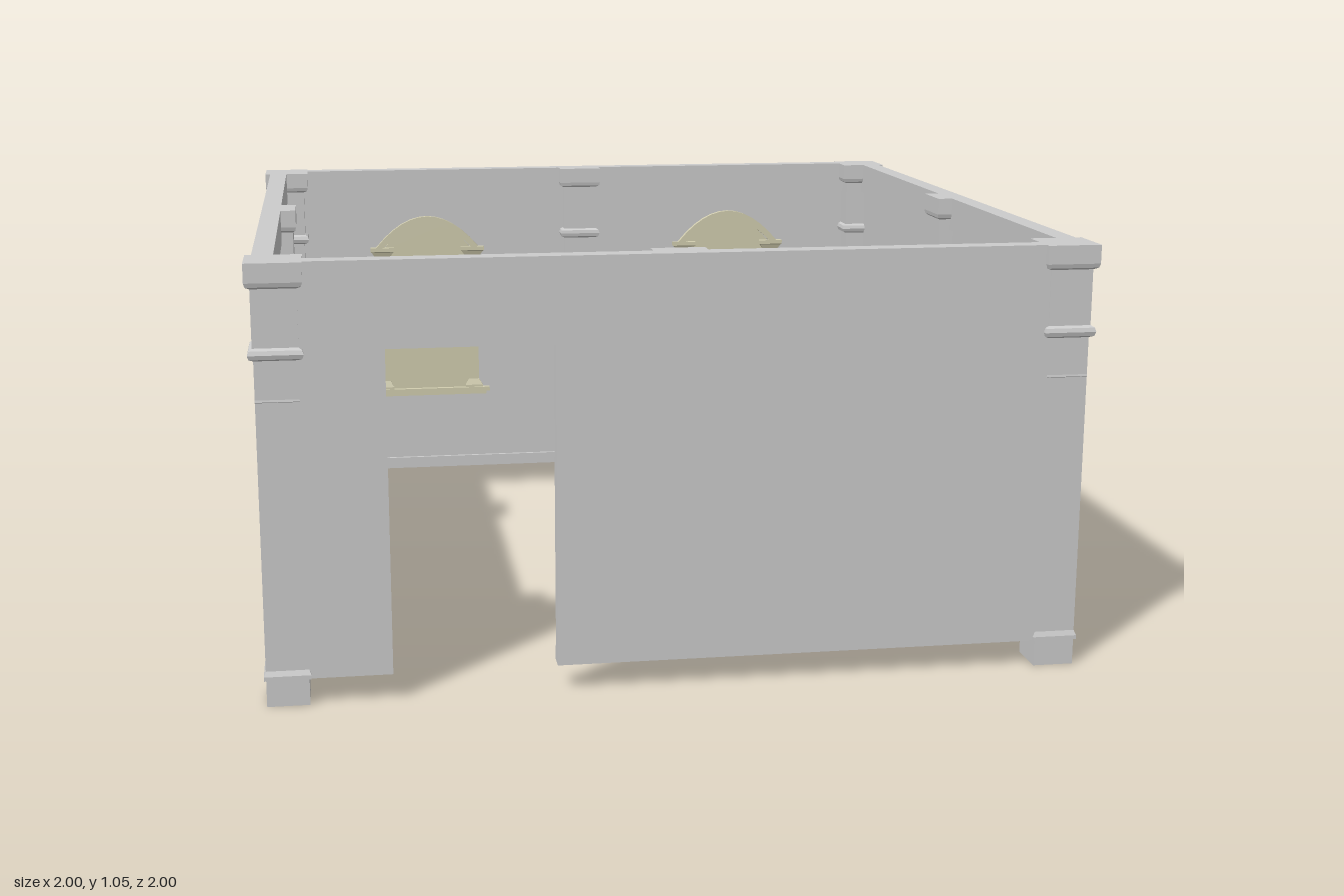
import * as THREE from 'three';

const grey = new THREE.MeshStandardMaterial({ color: 0xcccccc, flatShading: true });
const cream = new THREE.MeshStandardMaterial({ color: 0xd2ceb0, flatShading: true });

const BOTTOM = 0.065, TOP = 1.05, OUT = 0.985, INNER = 0.945, FACE = 0.935;

function add(parent, name, geometry, material = grey) {
  const mesh = new THREE.Mesh(geometry, material);
  mesh.name = name;
  parent.add(mesh);
  return mesh;
}

// Box given by its limits on each axis
function box(parent, name, x0, x1, y0, y1, z0, z1, material) {
  const mesh = add(parent, name, new THREE.BoxGeometry(x1 - x0, y1 - y0, z1 - z0), material);
  mesh.position.set((x0 + x1) / 2, (y0 + y1) / 2, (z0 + z1) / 2);
  return mesh;
}

// Square post from a list of [half width, height]
function squarePost(profile) {
  const points = profile.map(([w, y]) => new THREE.Vector2(w * Math.SQRT2, y));
  return new THREE.LatheGeometry(points, 4, Math.PI / 4).toNonIndexed();
}

const polygon = (pts) => new THREE.Path(pts.map(([x, y]) => new THREE.Vector2(x, y)));
const rect = (x0, x1, y0, y1) => polygon([[x0, y0], [x1, y0], [x1, y1], [x0, y1]]);

// Shared upper profile of pillars and pilasters
const upperProfile = [
  [0.055, 0.065], [0.055, 0.075], [0.049, 0.09], [0.049, 0.19], [0.04, 0.21],
  [0.04, 0.715], [0.051, 0.73], [0.049, 0.74], [0.049, 0.825], [0.06, 0.83], [0.063, 0.84],
  [0.06, 0.85], [0.052, 0.855], [0.052, 0.99], [0.062, 0.995], [0.065, 1.005],
  [0.065, TOP], [0, TOP],
];

// Openings of one lattice window, centred on x = cx
function latticeHoles(cx) {
  const holes = [];
  for (let row = 0; row < 5; row++) {
    for (let col = 0; col < 4; col++) {
      const x = cx - 0.12 + col * 0.06, y = 0.345 + row * 0.058;
      holes.push(rect(x + 0.006, x + 0.054, y, y + 0.047));
    }
  }
  for (const s of [-1, 1]) {
    // Long hexagon with small triangles in its corners
    const x = cx + s * 0.06, y = 0.685;
    holes.push(polygon([[x - 0.05, y], [x - 0.025, y - 0.025], [x + 0.025, y - 0.025],
      [x + 0.05, y], [x + 0.025, y + 0.025], [x - 0.025, y + 0.025]]));
    for (const a of [-1, 1]) for (const b of [-1, 1]) {
      holes.push(polygon([[x + a * 0.053, y + b * 0.012], [x + a * 0.053, y + b * 0.043],
        [x + a * 0.02, y + b * 0.043]]));
    }
    // Fan of slanted petals
    holes.push(polygon([[cx + s * 0.012, 0.76], [cx + s * 0.05, 0.785],
      [cx + s * 0.055, 0.825], [cx + s * 0.022, 0.805]]));
    holes.push(polygon([[cx + s * 0.05, 0.752], [cx + s * 0.085, 0.756],
      [cx + s * 0.115, 0.785], [cx + s * 0.075, 0.778]]));
  }
  return holes;
}

function wall(parent, name, half, holes = [], outline = null) {
  const shape = new THREE.Shape((outline ||
    [[-half, BOTTOM], [half, BOTTOM], [half, TOP], [-half, TOP]]).map(([x, y]) => new THREE.Vector2(x, y)));
  shape.holes = holes;
  const geo = new THREE.ExtrudeGeometry(shape, { depth: OUT - INNER, bevelEnabled: false });
  geo.translate(0, 0, INNER);
  return add(parent, name, geo);
}

// Points of a shallow arch between -half and half
function archPoints(half, spring, rise) {
  const pts = [];
  for (let i = 0; i <= 12; i++) {
    const t = i / 6 - 1;
    pts.push(new THREE.Vector2(t * half, spring + rise * (1 - t * t)));
  }
  return pts;
}

// Inside window surround with its pane
function windowFrame(cx) {
  const frame = new THREE.Group();
  frame.name = 'window';
  const pane = new THREE.Shape([new THREE.Vector2(0.145, 0.325), new THREE.Vector2(-0.145, 0.325),
    ...archPoints(0.145, 0.79, 0.09)]);
  const paneGeo = new THREE.ExtrudeGeometry(pane, { depth: 0.03, bevelEnabled: false });
  paneGeo.translate(0, 0, -0.97);
  add(frame, 'windowPane', paneGeo, cream);

  const arch = new THREE.Shape([...archPoints(0.165, 0.80, 0.1),
    ...archPoints(0.145, 0.795, 0.08).reverse()]);
  const archGeo = new THREE.ExtrudeGeometry(arch, { depth: 0.018, bevelEnabled: false });
  archGeo.translate(0, 0, -0.946);
  add(frame, 'windowArch', archGeo, cream);

  const column = squarePost([[0.028, 0.33], [0.028, 0.34], [0.016, 0.36], [0.016, 0.765],
    [0.024, 0.77], [0.034, 0.785], [0.038, 0.788], [0.038, 0.80], [0, 0.80]]);
  for (const s of [-1, 1]) {
    const post = add(frame, 'windowColumn', column, cream);
    post.position.set(s * 0.145, 0, -0.944);
    post.scale.z = 0.5;
  }
  box(frame, 'windowSill', -0.195, 0.195, 0.32, 0.333, -0.946, -0.925, cream);
  box(frame, 'windowSillMoulding', -0.185, 0.185, 0.31, 0.32, -0.946, -0.929, cream);
  frame.position.x = cx;
  return frame;
}

export function createModel() {
  const model = new THREE.Group();
  model.name = 'room';

  // Four sides, each built facing +z and then turned into place
  ['front', 'left', 'back', 'right'].forEach((side, i) => {
    const group = new THREE.Group();
    group.name = side + 'Side';
    group.rotation.y = i * Math.PI / 2;
    const half = i % 2 ? INNER : OUT;
    const door = [-0.69, -0.3];
    if (side === 'front') {
      wall(group, 'frontWall', half, [], [[-half, BOTTOM], [door[0], BOTTOM], [door[0], 0.845],
        [door[1], 0.845], [door[1], BOTTOM], [half, BOTTOM], [half, TOP], [-half, TOP]]);
    } else {
      const holes = side === 'back' ? [...latticeHoles(-0.495), ...latticeHoles(0.495)] : [];
      wall(group, side + 'Wall', half, holes);
    }
    // Crown band and skirting on the inner face
    box(group, 'crownBand', -FACE, FACE, 0.96, TOP, FACE, INNER);
    const runs = side === 'front' ? [[-FACE, door[0]], [door[1], FACE]] : [[-FACE, FACE]];
    for (const [a, b] of runs) box(group, 'skirting', a, b, BOTTOM, 0.1, FACE, INNER);
    // Flat pilaster in the middle
    const pilaster = add(group, 'pilaster', squarePost([[0, BOTTOM], ...upperProfile]));
    pilaster.position.z = 0.9375;
    pilaster.scale.z = 0.65;
    model.add(group);
  });

  // Corner pillars with feet
  const pillar = squarePost([[0, 0], [0.05, 0], [0.05, 0.065], ...upperProfile]);
  for (const x of [-1, 1]) for (const z of [-1, 1]) {
    add(model, 'cornerPillar', pillar).position.set(x * 0.935, 0, z * 0.935);
  }

  // Windows on the back wall
  for (const s of [-1, 1]) model.add(windowFrame(s * 0.495));
  return model;
}
